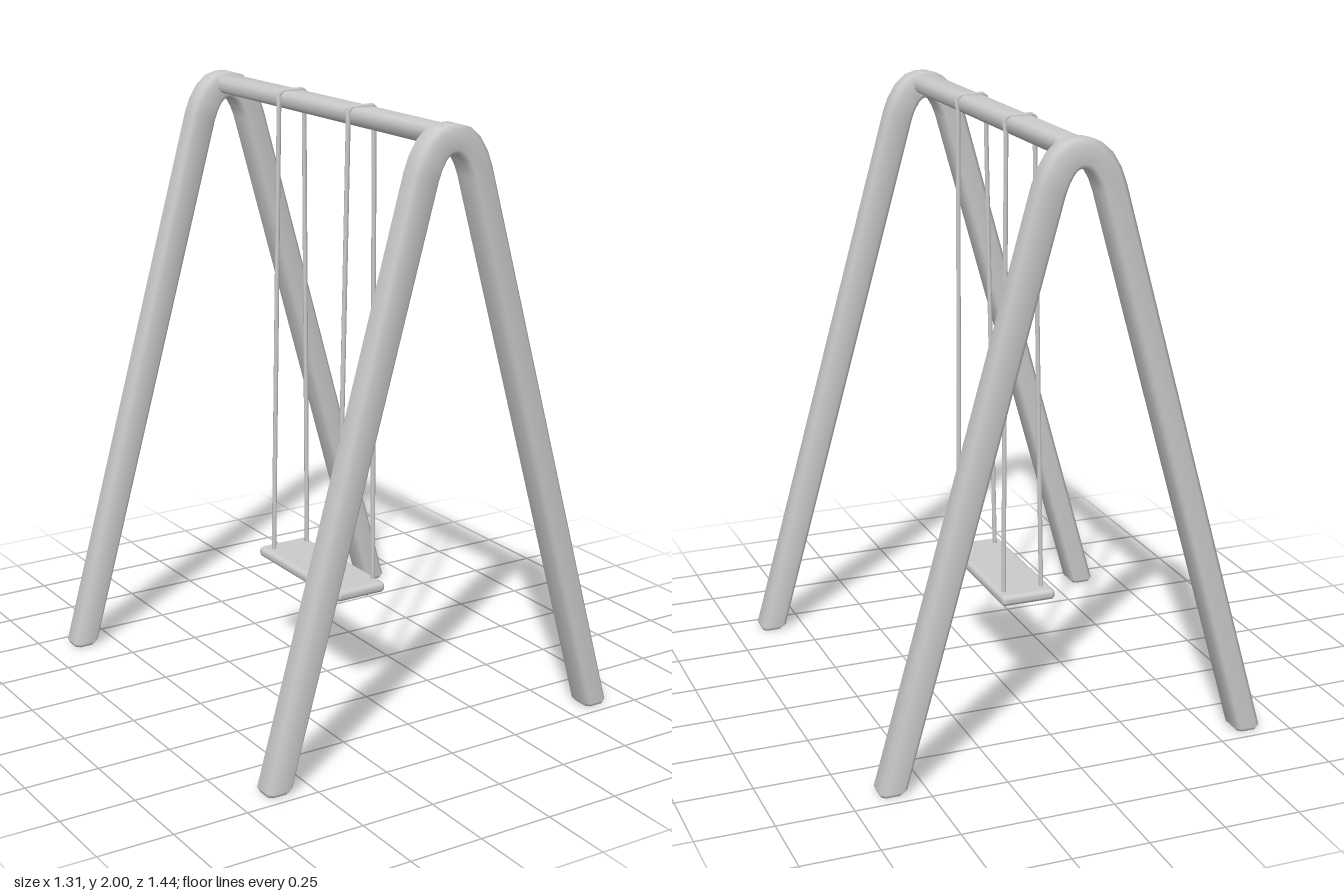
import * as THREE from 'three';
import { RoundedBoxGeometry } from 'three/addons/geometries/RoundedBoxGeometry.js';

const material = new THREE.MeshStandardMaterial({ color: 0xcccccc });

// Rectangle with cut corners, as [u, v] points
function bevelSection(hu, hv, c) {
  return [
    [hu, -hv + c], [hu, hv - c], [hu - c, hv], [-hu + c, hv],
    [-hu, hv - c], [-hu, -hv + c], [-hu + c, -hv], [hu - c, -hv],
  ];
}

function roundSection(r, sides) {
  return Array.from({ length: sides }, (_, i) => {
    const a = (i / sides) * Math.PI * 2;
    return [r * Math.cos(a), r * Math.sin(a)];
  });
}

// Sweeps a section along a path in the xy plane with mitred bends and caps.
// Path points are { x, y, scale, level }; level keeps the ring horizontal.
function sweep(path, section) {
  const positions = [], index = [];
  const n = section.length, last = path.length - 1;
  const dir = (a, b) => new THREE.Vector2(b.x - a.x, b.y - a.y).normalize();
  path.forEach((p, i) => {
    const before = dir(path[Math.max(i - 1, 0)], path[Math.max(i, 1)]);
    const after = dir(path[Math.min(i, last - 1)], path[Math.min(i + 1, last)]);
    const t = before.clone().add(after).normalize();
    let nx = t.y, ny = -t.x;
    const mitre = 1 / t.dot(after);
    nx *= mitre;
    ny *= mitre;
    if (p.level) {
      nx = Math.sign(nx);
      ny = 0;
    }
    const s = p.scale ?? 1;
    for (const [u, v] of section) positions.push(p.x + nx * u * s, p.y + ny * u * s, v * s);
  });
  for (let i = 0; i < last; i++) {
    for (let j = 0; j < n; j++) {
      const a = i * n + j, b = i * n + ((j + 1) % n);
      index.push(a, a + n, b + n, a, b + n, b);
    }
  }
  for (let j = 1; j < n - 1; j++) {
    index.push(0, j, j + 1);
    index.push(last * n, last * n + j + 1, last * n + j);
  }
  const geometry = new THREE.BufferGeometry();
  geometry.setAttribute('position', new THREE.Float32BufferAttribute(positions, 3));
  geometry.setIndex(index);
  geometry.computeVertexNormals();
  return geometry;
}

export function createModel() {
  const group = new THREE.Group();
  const add = (name, geometry, x = 0, y = 0, z = 0) => {
    const mesh = new THREE.Mesh(geometry, material);
    mesh.name = name;
    mesh.position.set(x, y, z);
    group.add(mesh);
  };

  // A-shaped end frames: bevelled feet, straight legs, bent top
  const half = [
    { x: -0.615, y: 0, scale: 0.78, level: true },
    { x: -0.611, y: 0.014, level: true },
    { x: -0.097, y: 1.85 },
    { x: -0.082, y: 1.89 },
    { x: -0.06, y: 1.927 },
    { x: -0.035, y: 1.949 },
    { x: -0.012, y: 1.956 },
  ];
  const mirrored = half.map((p) => ({ ...p, x: -p.x })).reverse();
  const frame = sweep([...half, ...mirrored], bevelSection(0.044, 0.046, 0.015));
  add('frontFrame', frame, 0, 0, 0.675);
  add('backFrame', frame, 0, 0, -0.675);

  // Top beam between the frames
  const beam = sweep([{ x: -0.67, y: 0 }, { x: 0.67, y: 0 }], bevelSection(0.0275, 0.048, 0.014));
  beam.rotateY(Math.PI / 2);
  add('topBeam', beam, 0, 1.961, 0);

  // Ropes run from the seat over the beam and back down
  const ropePath = [
    [-0.083, 0.385], [-0.051, 1.93], [-0.051, 1.978], [-0.038, 1.989],
    [0.038, 1.989], [0.051, 1.978], [0.046, 1.93], [0.052, 0.385],
  ].map(([x, y]) => ({ x, y }));
  const rope = sweep(ropePath, roundSection(0.008, 8));
  add('frontRope', rope, 0, 0, 0.205);
  add('backRope', rope, 0, 0, -0.216);

  // Seat board
  add('seat', new RoundedBoxGeometry(0.19, 0.037, 0.52, 3, 0.016), -0.022, 0.383, -0.005);

  return group;
}
